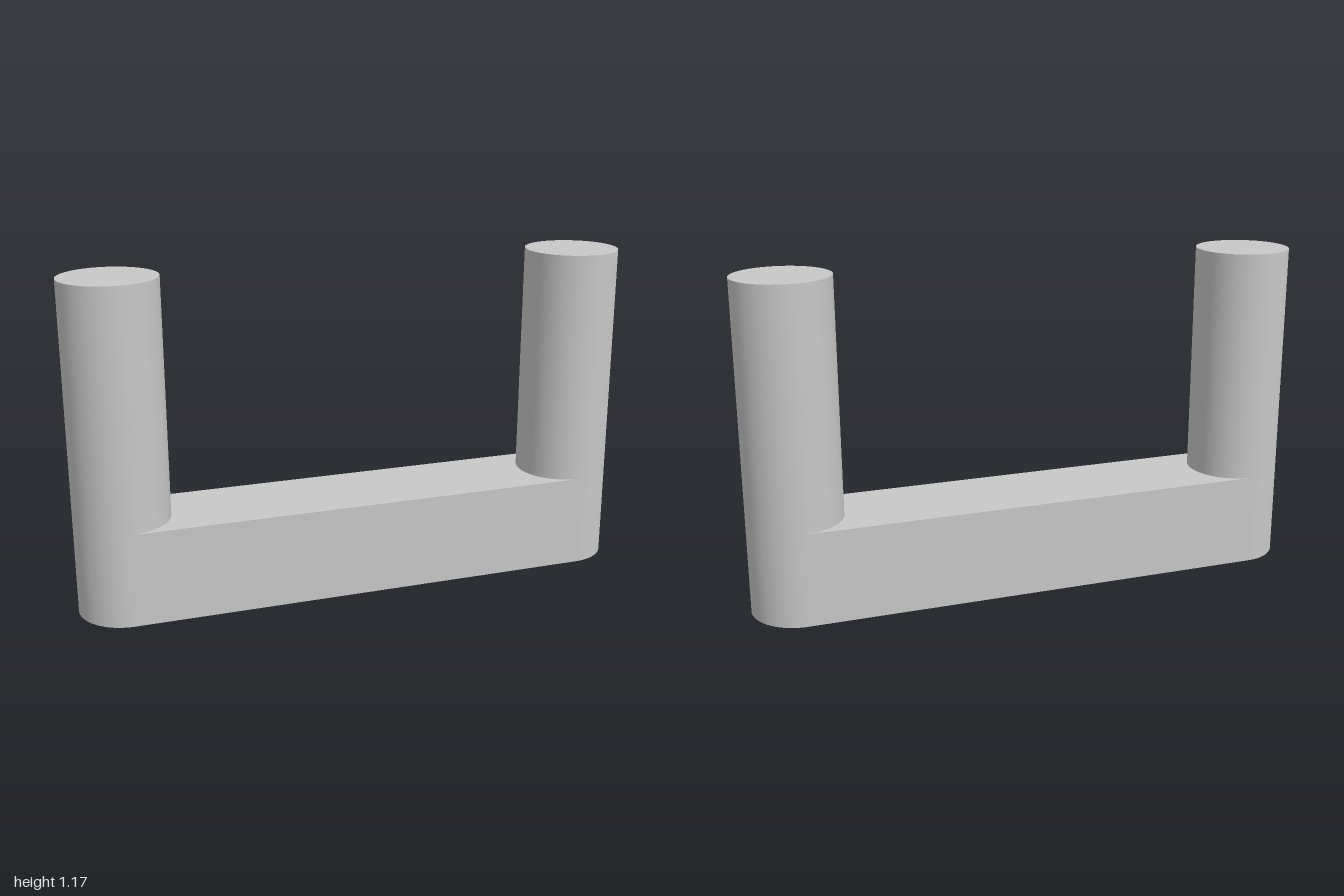
import * as THREE from 'three';
import { toCreasedNormals } from 'three/addons/utils/BufferGeometryUtils.js';

const RADIUS = 1 / 6;
const POST_X = 5 / 6;
const BAR_HEIGHT = 1 / 3;
const TOTAL_HEIGHT = 7 / 6;

export function createModel() {
  const model = new THREE.Group();
  model.name = 'uBracket';

  const grey = new THREE.MeshStandardMaterial({ color: 0xc8c8c8 });
  grey.name = 'light grey';

  // Base bar: round-ended outline raised to the bar height
  const outline = new THREE.Shape();
  outline.absarc(POST_X, 0, RADIUS, -Math.PI / 2, Math.PI / 2, false);
  outline.absarc(-POST_X, 0, RADIUS, Math.PI / 2, Math.PI * 1.5, false);
  const barGeometry = new THREE.ExtrudeGeometry(outline, {
    depth: BAR_HEIGHT,
    bevelEnabled: false,
    curveSegments: 32,
  });
  barGeometry.rotateX(-Math.PI / 2);
  const bar = new THREE.Mesh(toCreasedNormals(barGeometry, Math.PI / 6), grey);
  bar.name = 'baseBar';
  model.add(bar);

  // Upright posts, flush with the rounded bar ends
  const postHeight = TOTAL_HEIGHT - BAR_HEIGHT;
  const postGeometry = new THREE.CylinderGeometry(RADIUS, RADIUS, postHeight, 64);
  for (const [name, side] of [['leftPost', 1], ['rightPost', -1]]) {
    const post = new THREE.Mesh(postGeometry, grey);
    post.name = name;
    post.position.set(side * POST_X, BAR_HEIGHT + postHeight / 2, 0);
    model.add(post);
  }

  return model;
}
